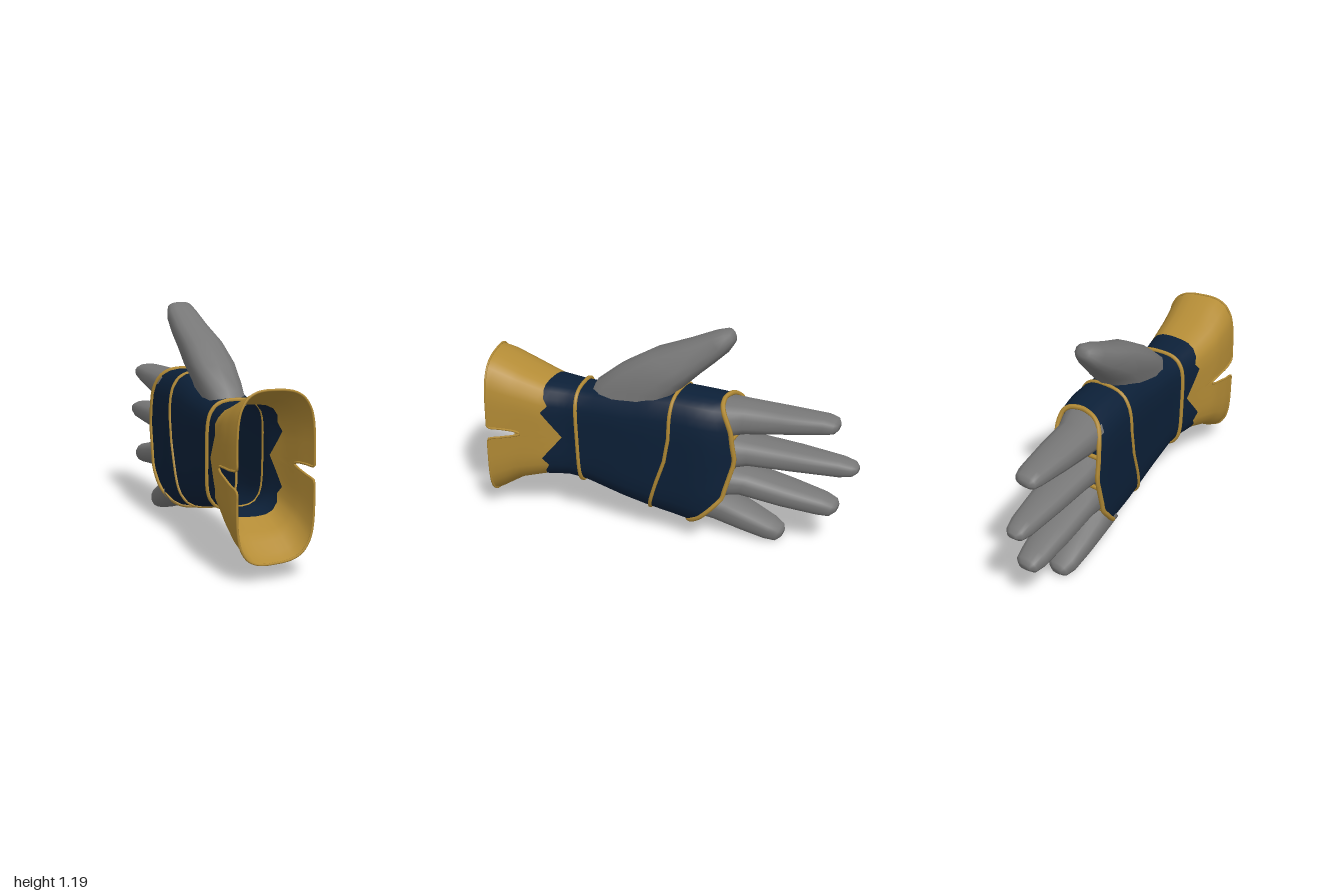
import * as THREE from 'three';

const mat = (color) => new THREE.MeshStandardMaterial({ color, side: THREE.DoubleSide });

// Piecewise-linear lookup in rows of [key, ...values], keys rising
function lookup(table, k) {
  let i = 0;
  while (i < table.length - 2 && k > table[i + 1][0]) i++;
  const a = table[i], b = table[i + 1];
  const t = THREE.MathUtils.clamp((k - a[0]) / (b[0] - a[0]), 0, 1);
  return a.slice(1).map((v, j) => v + (b[j + 1] - v) * t);
}

// Glove outline along z: [z, xMin, xMax, yMin, yMax]
const OUTLINE = [
  [-0.42, -0.255, 0.0, 0.06, 0.82],
  [-0.3, -0.25, 0.08, 0.08, 0.835],
  [-0.2, -0.235, 0.105, 0.1, 0.845],
  [-0.07, -0.22, 0.115, 0.125, 0.85],
  [0.05, -0.2, 0.13, 0.15, 0.84],
  [0.2, -0.175, 0.14, 0.185, 0.81],
  [0.42, -0.145, 0.14, 0.24, 0.785],
  [0.52, -0.145, 0.15, 0.25, 0.785],
  [0.65, -0.15, 0.19, 0.24, 0.795],
  [0.8, -0.16, 0.225, 0.19, 0.845],
  [0.93, -0.145, 0.26, 0.105, 0.905],
  [1.0, -0.13, 0.275, 0.08, 0.925],
];

// Normalised rounded-rectangle loop, dense at mid height for the cuff notches
const LOOP = (() => {
  const b = [0.04, 0.07, 0.09, 0.13, 0.25, 0.38, 0.5, 0.65, 0.78];
  const side = [...b.slice().reverse().map((v) => -v), 0, ...b];
  const right = side.map((v) => [Math.cbrt(1 - Math.abs(v) ** 5), v]);
  const top = [0.72, 0.5, 0.25, 0, -0.25, -0.5, -0.72].map((a) => [a, (1 - Math.abs(a) ** 3) ** 0.2]);
  const half = [...right, ...top];
  return [...half, ...half.map(([x, y]) => [-x, -y])];
})();

function onGlove(a, b, z, grow = 0) {
  const [x0, x1, y0, y1] = lookup(OUTLINE, z);
  return new THREE.Vector3(
    (x0 + x1) / 2 + a * ((x1 - x0) / 2 + grow),
    (y0 + y1) / 2 + b * ((y1 - y0) / 2 + grow), z);
}

// Seam lines: z as a function of position on the loop
const knuckleEdge = (a, b) => lookup([[-1, -0.14], [-0.75, -0.24], [-0.4, -0.34], [0.2, -0.395], [0.7, -0.37], [1, -0.32]], b)[0]
  - 0.02 * Math.abs(a) + 0.015;
const palmSeam = (a, b) => lookup([[-1, 0.06], [-0.4, 0.0], [0, -0.045], [0.4, -0.068], [1, -0.07]], b)[0];
const wristSeam = (a, b) => 0.465 - 0.015 * a + 0.01 * b;
const cuffSeam = (a, b) => lookup([[0, 0.535], [0.25, 0.59], [0.5, 0.645], [0.65, 0.61], [0.8, 0.635], [1, 0.65]], Math.abs(b))[0];
const cuffEnd = (a, b) => {
  const full = 0.965 - 0.032 * a;
  return Math.min(full, lookup([[0, 0.755], [0.04, 0.785], [0.07, 0.86], [0.09, 0.93], [0.13, 1.1]], Math.abs(b))[0]);
};

// Skin a list of closed rings (equal length) into one smooth surface
function skin(rings) {
  const n = rings[0].length, pos = [], idx = [];
  rings.forEach((r) => r.forEach((p) => pos.push(p.x, p.y, p.z)));
  for (let j = 0; j < rings.length - 1; j++) {
    for (let i = 0; i < n; i++) {
      const a = j * n + i, b = j * n + (i + 1) % n;
      idx.push(a, b, a + n, b, b + n, a + n);
    }
  }
  const g = new THREE.BufferGeometry();
  g.setAttribute('position', new THREE.Float32BufferAttribute(pos, 3));
  g.setIndex(idx);
  g.computeVertexNormals();
  return g;
}

// Shell of the glove between two seam lines
function shell(from, to, rows) {
  const rings = [];
  for (let j = 0; j <= rows; j++) {
    rings.push(LOOP.map(([a, b]) => onGlove(a, b, THREE.MathUtils.lerp(from(a, b), to(a, b), j / rows))));
  }
  return skin(rings);
}

// Piping that follows a seam line
function piping(seam, radius, grow = 0) {
  const pts = LOOP.map(([a, b]) => onGlove(a, b, seam(a, b), grow));
  return new THREE.TubeGeometry(new THREE.CatmullRomCurve3(pts, true, 'centripetal'), 160, radius, 6, true);
}

// Finger from sections [upperZ, upperY, lowerZ, lowerY, xMin, xMax], closed at the tip
function digit(sections) {
  const N = 14, soft = (v) => Math.sign(v) * Math.abs(v) ** 0.8;
  const ring = ([uz, uy, lz, ly, x0, x1], k = 1) => Array.from({ length: N }, (_, i) => {
    const t = (i / N) * Math.PI * 2, c = (soft(Math.cos(t)) * k) / 2, s = (soft(Math.sin(t)) * k) / 2;
    return new THREE.Vector3((x0 + x1) / 2 + s * (x1 - x0), (uy + ly) / 2 + c * (uy - ly), (uz + lz) / 2 + c * (uz - lz));
  });
  const last = sections[sections.length - 1];
  return skin([...sections.map((s) => ring(s)), ring(last, 0.001)]);
}

const DIGITS = {
  thumb: [
    [0.44, 0.74, 0.0, 0.74, -0.12, 0.1], [0.4, 0.82, -0.06, 0.84, -0.14, 0.09],
    [0.27, 0.93, -0.12, 0.9, -0.165, 0.08], [0.1, 1.035, -0.17, 0.95, -0.175, 0.05],
    [-0.08, 1.11, -0.235, 1.01, -0.185, 0.005], [-0.22, 1.175, -0.305, 1.08, -0.19, -0.03],
    [-0.285, 1.197, -0.332, 1.125, -0.18, -0.05], [-0.315, 1.19, -0.335, 1.15, -0.15, -0.08],
  ],
  indexFinger: [
    [-0.3, 0.82, -0.34, 0.63, -0.235, 0.035], [-0.42, 0.81, -0.42, 0.64, -0.24, -0.02],
    [-0.62, 0.8, -0.62, 0.668, -0.255, -0.06], [-0.82, 0.79, -0.82, 0.695, -0.262, -0.11],
    [-0.87, 0.775, -0.87, 0.705, -0.255, -0.13], [-0.885, 0.755, -0.885, 0.72, -0.23, -0.16],
  ],
  middleFinger: [
    [-0.35, 0.635, -0.35, 0.44, -0.24, 0.035], [-0.45, 0.605, -0.45, 0.46, -0.245, -0.02],
    [-0.68, 0.585, -0.68, 0.46, -0.26, -0.07], [-0.91, 0.56, -0.91, 0.458, -0.265, -0.13],
    [-0.975, 0.54, -0.975, 0.47, -0.26, -0.155], [-0.998, 0.52, -0.998, 0.49, -0.235, -0.18],
  ],
  ringFinger: [
    [-0.36, 0.45, -0.27, 0.26, -0.24, 0.035], [-0.45, 0.415, -0.4, 0.275, -0.245, -0.02],
    [-0.65, 0.37, -0.62, 0.24, -0.26, -0.06], [-0.83, 0.325, -0.81, 0.215, -0.265, -0.11],
    [-0.89, 0.3, -0.87, 0.215, -0.255, -0.13], [-0.905, 0.275, -0.9, 0.24, -0.23, -0.16],
  ],
  littleFinger: [
    [-0.27, 0.275, -0.14, 0.12, -0.225, 0.02], [-0.35, 0.23, -0.25, 0.09, -0.228, -0.02],
    [-0.46, 0.175, -0.4, 0.045, -0.232, -0.05], [-0.57, 0.12, -0.53, 0.01, -0.23, -0.08],
    [-0.615, 0.09, -0.59, 0.005, -0.215, -0.1], [-0.625, 0.065, -0.615, 0.025, -0.19, -0.13],
  ],
};

export function createModel() {
  const glove = new THREE.Group();
  glove.name = 'glove';
  const navy = mat(0x0c2038), gold = mat(0xb48c36), grey = mat(0x777777);
  const add = (name, geometry, material) => {
    const m = new THREE.Mesh(geometry, material);
    m.name = name;
    glove.add(m);
    return m;
  };

  // Cloth shells and flared cuff
  add('handShell', shell(knuckleEdge, wristSeam, 16), navy);
  add('wristShell', shell(wristSeam, cuffSeam, 5), navy);
  add('cuff', shell(cuffSeam, cuffEnd, 10), gold);

  // Gold piping
  add('knuckleTrim', piping(knuckleEdge, 0.013), gold);
  add('palmTrim', piping(palmSeam, 0.01), gold);
  add('wristTrim', piping(wristSeam, 0.011, 0.004), gold);
  add('cuffRim', piping(cuffEnd, 0.006), gold);

  // Fingers and thumb
  for (const [name, sections] of Object.entries(DIGITS)) add(name, digit(sections), grey);

  // Trim crossing between neighbouring fingers
  for (const [y, z] of [[0.63, -0.37], [0.45, -0.37], [0.27, -0.3]]) {
    const web = add('fingerWebTrim', new THREE.CylinderGeometry(0.012, 0.012, 0.25, 8), gold);
    web.rotation.z = Math.PI / 2;
    web.position.set(-0.115, y, z);
  }
  return glove;
}
